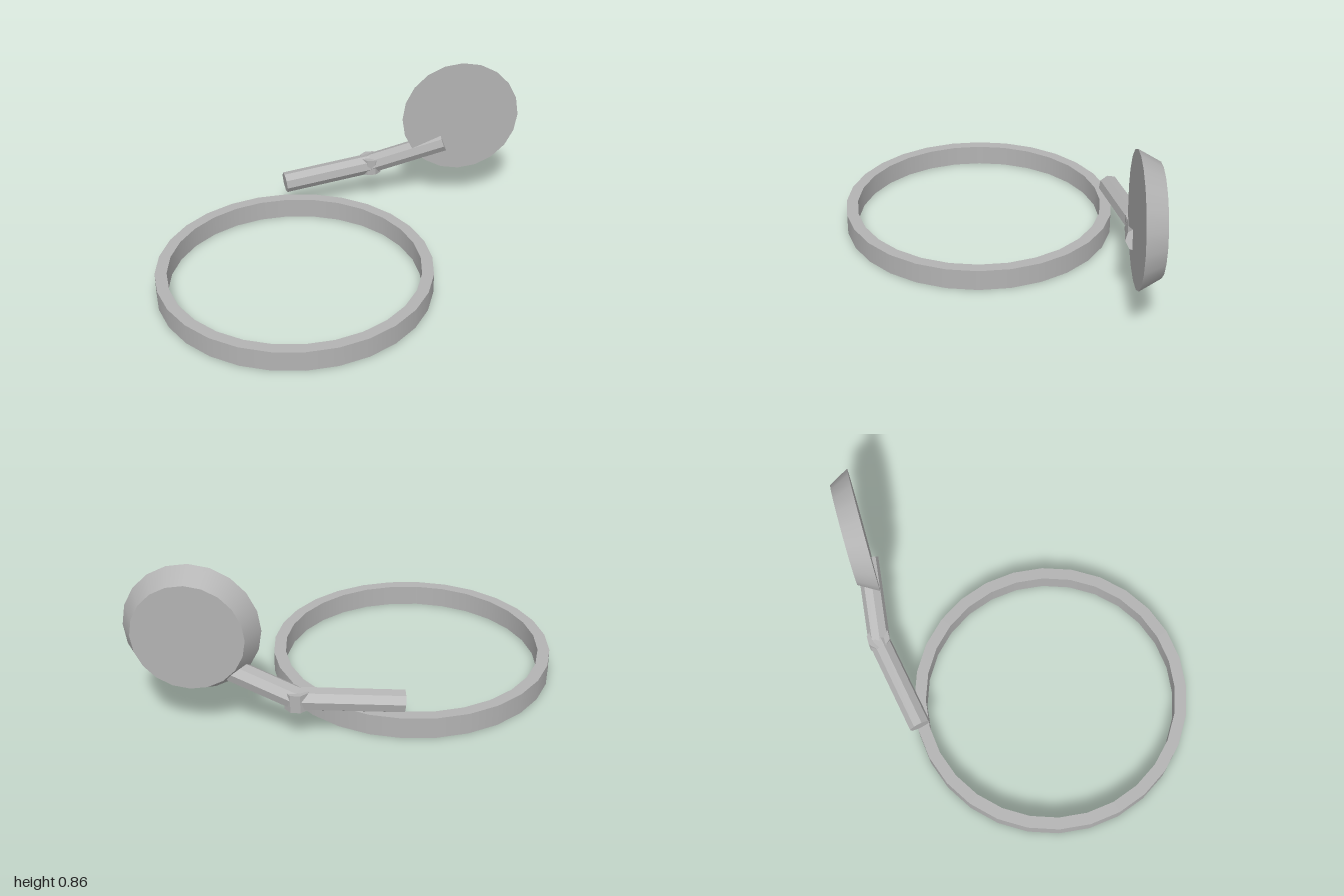
import * as THREE from 'three';

export function createModel() {
  const model = new THREE.Group();
  model.name = 'ringWithArmAndDisc';
  const grey = new THREE.MeshStandardMaterial({ color: 0xb3b3b3 });
  grey.name = 'grey';

  const add = (name, geometry, parent = model) => {
    const mesh = new THREE.Mesh(geometry, grey);
    mesh.name = name;
    parent.add(mesh);
    return mesh;
  };
  const faceted = (geometry) => {
    const flat = geometry.toNonIndexed();
    flat.computeVertexNormals();
    return flat;
  };

  // Flat band ring: four lathed walls, so that the rims stay sharp
  const ring = new THREE.Group();
  ring.name = 'ring';
  ring.position.set(-0.2925, 0, 0.0625);
  model.add(ring);
  const profile = [[0.6475, 0], [0.7075, 0], [0.7075, 0.108], [0.6475, 0.108]]
    .map(([r, y]) => new THREE.Vector2(r, y));
  ['ringBottom', 'ringOuterWall', 'ringTop', 'ringInnerWall'].forEach((name, i) => {
    add(name, new THREE.LatheGeometry([profile[i], profile[(i + 1) % 4]], 28), ring);
  });

  // Bevelled disc, wide side to the front
  const disc = add('disc', new THREE.CylinderGeometry(0.32, 0.262, 0.103, 20).rotateX(Math.PI / 2));
  disc.position.set(0.675, 0.541, -0.6985);

  // Bent arm: two octagonal rods meeting at an elbow
  const elbow = new THREE.Vector3(0.19, 0.238, -0.72);
  const rod = (name, end) => {
    const along = new THREE.Vector3().subVectors(end, elbow);
    const mesh = add(name, faceted(new THREE.CylinderGeometry(0.056, 0.056, along.length(), 8)));
    mesh.position.addVectors(elbow, end).multiplyScalar(0.5);
    mesh.quaternion.setFromUnitVectors(new THREE.Vector3(0, 1, 0), along.normalize());
  };
  rod('lowerArm', new THREE.Vector3(-0.297, 0.196, -0.63));
  rod('upperArm', new THREE.Vector3(0.59, 0.385, -0.668));

  // Elbow collar
  const collar = add('elbow', faceted(
    new THREE.CylinderGeometry(0.06, 0.06, 0.09, 8).rotateY(Math.PI / 8)));
  collar.position.copy(elbow);

  return model;
}
